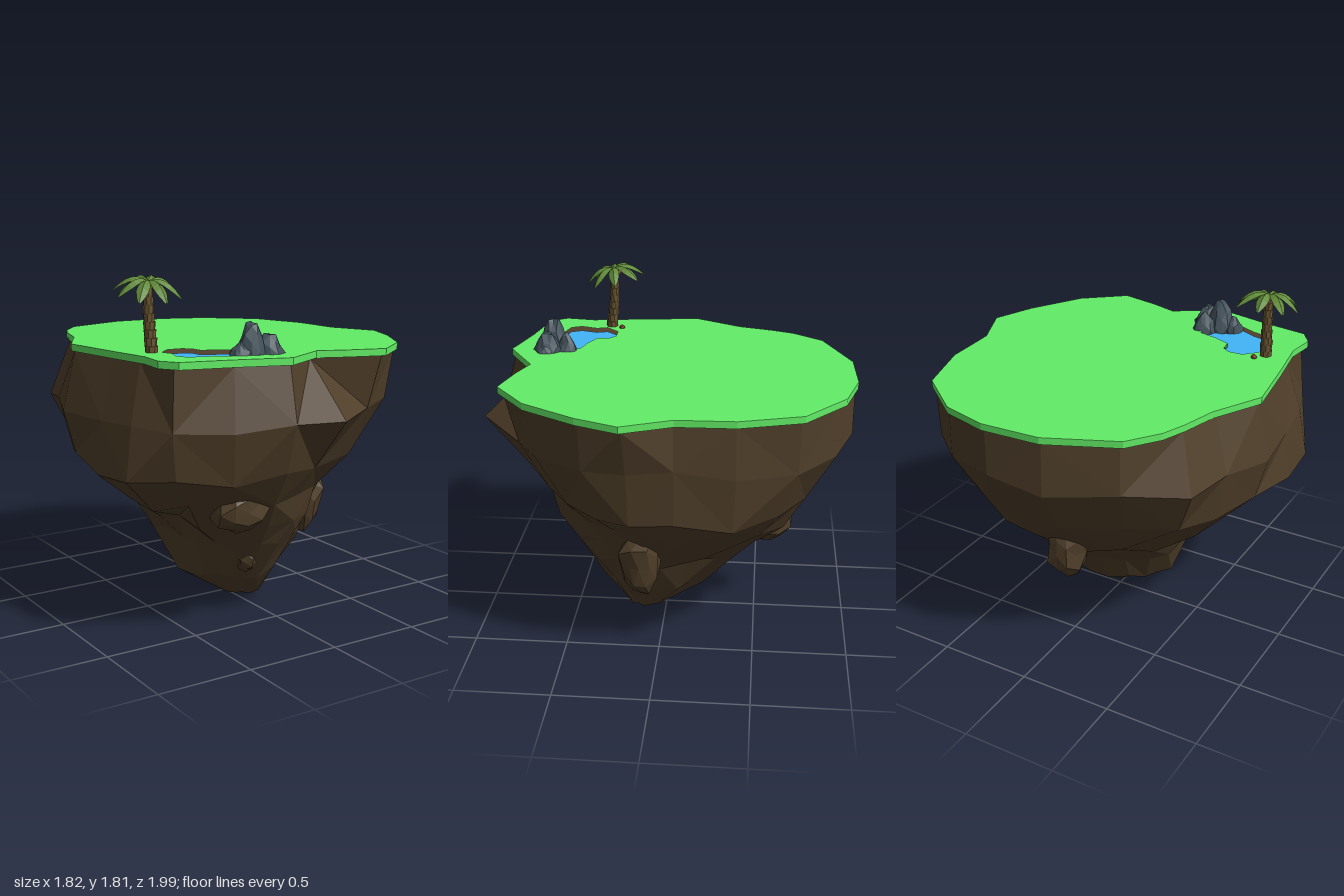
import * as THREE from 'three';

const mat = (color, side = THREE.FrontSide) => new THREE.MeshStandardMaterial({ color, side });
const soil = mat(0x503f2a), turf = mat(0x62ed66), water = mat(0x42b4f8), slate = mat(0x43525c);
const bark = mat(0x6e5a34), nut = mat(0x7a3f2c), frond = mat(0x5f8a38, THREE.DoubleSide);

// Repeatable noise in -1..1
const noise = (a, b, c) => {
  const s = Math.sin(a * 12.99 + b * 78.23 + c * 37.72) * 43758.55;
  return (s - Math.floor(s)) * 2 - 1;
};

// Underside of the gently sloping lawn
const groundY = (x, z) => 1.397 - 0.013 * x + 0.006 * z;

function flat(geometry) {
  const g = geometry.index ? geometry.toNonIndexed() : geometry;
  g.computeVertexNormals();
  return g;
}

function add(parent, name, geometry, material, x = 0, y = 0, z = 0) {
  const mesh = new THREE.Mesh(geometry, material);
  mesh.name = name;
  mesh.position.set(x, y, z);
  parent.add(mesh);
  return mesh;
}

// Rough faceted stone; taper narrows it upwards (negative: downwards)
function stone(sx, sy, sz, seed, taper = 0) {
  const g = new THREE.IcosahedronGeometry(1, 1);
  const p = g.attributes.position;
  for (let i = 0; i < p.count; i++) {
    const [x, y, z] = [p.getX(i), p.getY(i), p.getZ(i)].map((v) => Math.round(v * 100) / 100 + 0);
    const k = 1 + 0.16 * noise(x + seed, y, z);
    const w = k * (1 - taper * y);
    p.setXYZ(i, x * sx * w, y * sy * k, z * sz * w);
  }
  return flat(g);
}

// Cliff columns in degrees, from +x towards the front
const ANGLES = [9, 24, 45, 62, 87, 102, 120, 136, 150, 165, 187, 205, 220, 240, 262, 280, 297, 314, 333, 353];
// Irregular upper sections: height and radius per column
const UPPER = [
  [1.397, [.9, .88, .9, .9, .71, .87, .9, 1.02, .88, .82, .85, .8, .86, .95, .98, 1, 1, .98, .87, .79]],
  [1.13, [.83, .86, .86, .83, .99, .955, .99, 1.05, .97, .9, .92, .9, .98, .97, .99, 1, 1, .97, .88, .81]],
  [.85, [.79, .74, .68, .68, .76, .85, .92, 1, 1.02, .93, .86, .83, .84, .82, .82, .82, .84, .86, .85, .8]],
  [.68, [.62, .56, .52, .54, .64, .7, .74, .78, .78, .72, .68, .68, .68, .68, .69, .7, .72, .72, .68, .64]],
  [.54, [.48, .47, .46, .5, .6, .61, .6, .56, .52, .5, .5, .5, .52, .52, .52, .53, .54, .54, .52, .49]],
];
// Oval lower sections: height, centre x, centre z, radius x, radius z
const LOWER = [[.4, -.03, .06, .38, .45], [.2, -.04, .06, .27, .31], [.04, .03, .11, .1, .1]];

function cliffGeometry() {
  const n = ANGLES.length, pos = [], index = [];
  const dirs = ANGLES.map((d) => [Math.cos(d * Math.PI / 180), Math.sin(d * Math.PI / 180)]);
  UPPER.forEach(([y, radii], i) => dirs.forEach(([c, s], j) => {
    const x = radii[j] * c, z = radii[j] * s;
    pos.push(x, i ? y + 0.03 * noise(i, j, 3) : groundY(x, z), z);
  }));
  LOWER.forEach(([y, cx, cz, rx, rz], i) => dirs.forEach(([c, s], j) => {
    const k = 1 + 0.06 * noise(i, j, 8);
    pos.push(cx + rx * c * k, y + 0.1 * rx * noise(i, j, 5), cz + rz * s * k);
  }));
  const top = pos.length / 3, tip = top + 1, last = UPPER.length + LOWER.length - 1;
  pos.push(0, 1.397, 0, 0.02, 0, 0.03);
  for (let j = 0; j < n; j++) {
    const k = (j + 1) % n;
    for (let i = 0; i < last; i++) {
      const a0 = i * n + j, a1 = i * n + k, b0 = a0 + n, b1 = a1 + n;
      if ((i + j) % 2) index.push(a0, a1, b0, a1, b1, b0);
      else index.push(a0, a1, b1, a0, b1, b0);
    }
    index.push(top, k, j, last * n + j, last * n + k, tip);
  }
  const g = new THREE.BufferGeometry();
  g.setAttribute('position', new THREE.Float32BufferAttribute(pos, 3));
  g.setIndex(index);
  return flat(g);
}

// Plan outlines as [x, z]
const LAWN = [[-.14, -.99], [.18, -1], [.43, -.93], [.69, -.72], [.79, -.4], [.8, -.1], [.91, .15],
  [.82, .37], [.65, .65], [.43, .82], [.22, .77], [.07, .72], [-.18, .87], [-.46, .8], [-.73, .75],
  [-.79, .66], [-.77, .5], [-.81, .25], [-.86, -.11], [-.72, -.37], [-.67, -.55], [-.62, -.68], [-.5, -.84]];
const POND = [[-.55, .33], [-.47, .33], [-.43, .36], [-.42, .43], [-.33, .47], [-.22, .5], [-.25, .62],
  [-.4, .68], [-.48, .64], [-.6, .61], [-.63, .55], [-.6, .46], [-.62, .4]];
const plan = (pts) => pts.map(([x, z]) => new THREE.Vector2(x, -z));

function lawnGeometry() {
  const shape = new THREE.Shape(plan(LAWN));
  shape.holes.push(new THREE.Path(plan(POND)));
  const g = new THREE.ExtrudeGeometry(shape, { depth: 0.036, bevelEnabled: false });
  g.rotateX(-Math.PI / 2);
  const p = g.attributes.position;
  for (let i = 0; i < p.count; i++) p.setY(i, p.getY(i) + groundY(p.getX(i), p.getZ(i)));
  return flat(g);
}

// Drooping leaf with a folded midrib, growing along +x
function leafGeometry(length) {
  const g = new THREE.PlaneGeometry(1, 1, 2, 6);
  const p = g.attributes.position;
  for (let i = 0; i < p.count; i++) {
    const s = p.getX(i), t = p.getY(i) + 0.5;
    const w = 0.062 * Math.sin(Math.PI * (0.1 + 0.84 * t ** 1.4));
    p.setXYZ(i, length * t, 0.1 * t - 0.165 * t * t - Math.abs(s) * w * 0.6, s * w);
  }
  return flat(g);
}

function palmTree() {
  const palm = new THREE.Group();
  palm.name = 'palmTree';
  // Trunk of stacked, flared segments with a slight bend
  const count = 9, h = 0.35 / count;
  for (let i = 0; i < count; i++) {
    const t = i / count, r = 0.032 - 0.009 * t;
    const seg = add(palm, 'trunkSegment', flat(new THREE.CylinderGeometry(r + 0.002, r - 0.002, h * 1.05, 8)), bark,
      -0.008 * t, h * (i + 0.5), 0.012 - 0.05 * t + 0.035 * t * t);
    seg.rotation.y = i * 0.4;
  }
  // Crown tipped towards the front
  const crown = new THREE.Group();
  crown.name = 'crown';
  crown.position.set(-0.005, 0.35, -0.003);
  crown.rotation.x = 0.18;
  palm.add(crown);
  for (let i = 0; i < 8; i++) {
    const leaf = add(crown, 'leaf', leafGeometry(0.17 + 0.01 * noise(i, 2, 5)), frond);
    leaf.rotation.y = (i / 8) * Math.PI * 2 + 0.08;
  }
  const nutGeo = flat(new THREE.IcosahedronGeometry(0.016, 1));
  for (const [x, y, z] of [[0.02, 0.33, -0.03], [-0.03, 0.325, 0.01], [0.04, 0.012, -0.05]])
    add(palm, 'coconut', nutGeo, nut, x, y, z);
  palm.position.set(-0.665, 1.435, 0.365);
  return palm;
}

export function createModel() {
  const island = new THREE.Group();
  island.name = 'floatingIsland';
  add(island, 'cliff', cliffGeometry(), soil);
  add(island, 'lawn', lawnGeometry(), turf);

  const pond = new THREE.ShapeGeometry(new THREE.Shape(plan(POND)));
  pond.rotateX(-Math.PI / 2);
  add(island, 'pondWater', flat(pond), water, 0, 1.42, 0);

  // Outcrops hanging from the cliff: position, half sizes, taper
  [
    [-.31, .66, .58, .15, .13, .14, 0],
    [.46, .49, .1, .1, .2, .11, -.3],
    [-.02, .58, -.58, .11, .17, .13, -.15],
    [-.12, .32, .38, .06, .08, .07, 0],
  ].forEach(([x, y, z, sx, sy, sz, taper], i) =>
    add(island, 'outcrop', stone(sx, sy, sz, i + 1, taper), soil, x, y, z));

  // Jagged boulders beside the pond
  [
    [-.27, 1.45, .65, .075, .155, .08, .5],
    [-.18, 1.44, .67, .075, .1, .08, .4],
    [-.34, 1.435, .66, .06, .07, .06, .4],
    [-.21, 1.44, .57, .065, .09, .06, .45],
    [-.14, 1.435, .68, .04, .04, .05, .3],
  ].forEach(([x, y, z, sx, sy, sz, taper], i) =>
    add(island, 'boulder', stone(sx, sy, sz, i + 11, taper), slate, x, y, z));

  island.add(palmTree());
  return island;
}
